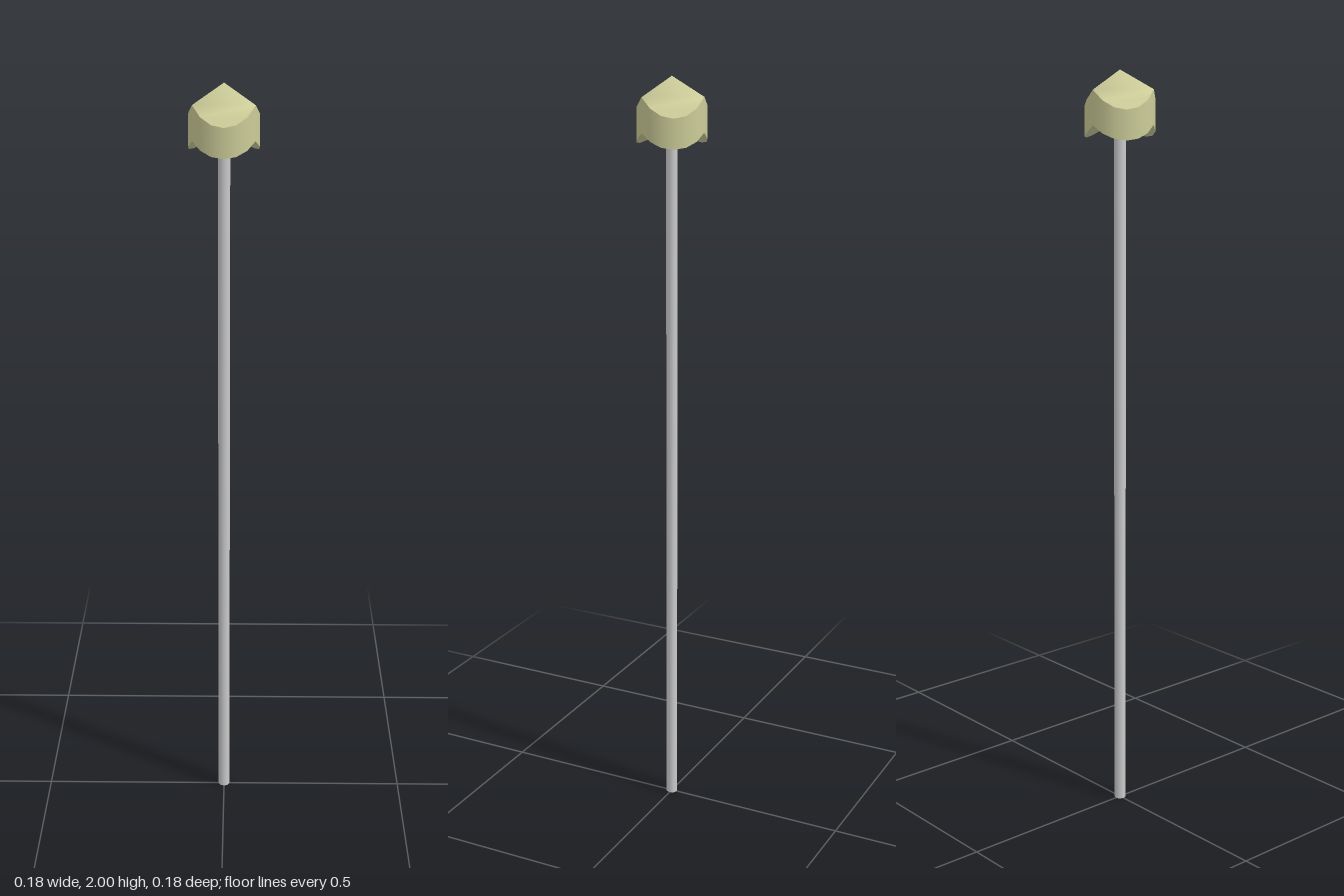
import * as THREE from 'three';

const SIDES = 18, RADIUS = 0.09;
const TOP = { apex: 2, drop: 0.095 };
const BOTTOM = { apex: 1.9, drop: 0.071 };

// Rim height: three planes sloping from the apex, meeting in ridges 120 degrees apart
function rimHeight({ apex, drop }, angle) {
  return apex - drop * Math.max(...[0, 1, 2].map(k => Math.cos(angle - k * Math.PI * 2 / 3)));
}

// Three-plane roof surface; each plane is a triangle at the apex plus a curved lip
function roofGeometry(level, faceDown) {
  const pos = [0, level.apex, 0], idx = [];
  for (let i = 0; i < SIDES; i++) {
    const a = i / SIDES * Math.PI * 2;
    pos.push(RADIUS * Math.sin(a), rimHeight(level, a), RADIUS * Math.cos(a));
  }
  const tri = (a, b, c) => idx.push(...(faceDown ? [a, c, b] : [a, b, c]));
  for (let k = 0; k < 3; k++) {
    const p = j => 1 + (k * 6 + j - 3 + SIDES) % SIDES;
    tri(0, p(0), p(6));
    for (let j = 0; j < 3; j++) {
      tri(p(j), p(j + 1), p(6 - j));
      if (j < 2) tri(p(j + 1), p(5 - j), p(6 - j));
    }
  }
  const geo = new THREE.BufferGeometry();
  geo.setAttribute('position', new THREE.Float32BufferAttribute(pos, 3));
  geo.setIndex(idx);
  geo.computeVertexNormals();
  return geo;
}

// Round wall whose top and bottom edges follow the two scalloped rims
function wallGeometry() {
  const geo = new THREE.CylinderGeometry(RADIUS, RADIUS, 1, SIDES, 1, true);
  const p = geo.attributes.position;
  for (let i = 0; i < p.count; i++) {
    const level = p.getY(i) > 0 ? TOP : BOTTOM;
    p.setY(i, rimHeight(level, Math.atan2(p.getX(i), p.getZ(i))));
  }
  return geo;
}

export function createModel() {
  const model = new THREE.Group();
  const grey = new THREE.MeshStandardMaterial({ color: 0xcccccc });
  const tan = new THREE.MeshStandardMaterial({ color: 0xcccc99 });
  const add = (parent, name, geo, mat) => {
    const mesh = new THREE.Mesh(geo, mat);
    mesh.name = name;
    parent.add(mesh);
  };

  // Slim post from the ground into the head
  const poleHeight = BOTTOM.apex + 0.01;
  const pole = new THREE.CylinderGeometry(0.0155, 0.0155, poleHeight, 8);
  pole.translate(0, poleHeight / 2, 0);
  add(model, 'pole', pole, grey);

  // Three-sided cap on top of the post
  const head = new THREE.Group();
  head.name = 'head';
  add(head, 'headTop', roofGeometry(TOP, false), tan);
  add(head, 'headUnderside', roofGeometry(BOTTOM, true), tan);
  add(head, 'headWall', wallGeometry(), tan);
  model.add(head);
  return model;
}
